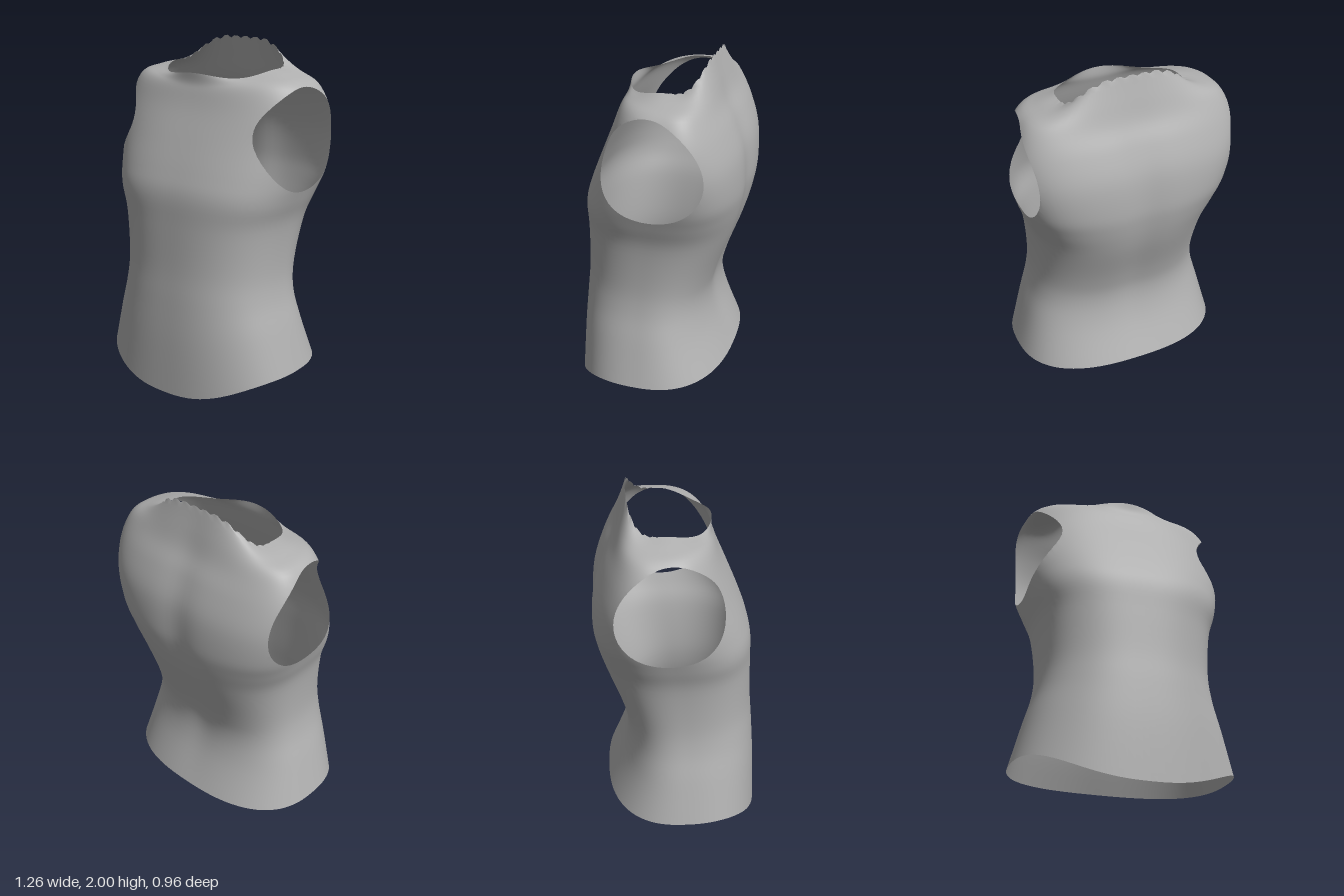
import * as THREE from 'three';
import { mergeVertices } from 'three/addons/utils/BufferGeometryUtils.js';

// Rings from hem to neckline: half width, centre z, front z, back z,
// height at front, side and back, squareness of front and back
const RINGS = [
  [0.63, 0.03, 0.485, -0.42, 0.0, 0.155, 0.165, 2.5, 2.5],
  [0.565, 0.03, 0.475, -0.325, 0.32, 0.4, 0.4, 2.5, 2.5],
  [0.515, 0.03, 0.46, -0.298, 0.56, 0.58, 0.58, 2.5, 2.5],
  [0.5, 0.02, 0.445, -0.335, 0.75, 0.75, 0.75, 2.5, 2.5],
  [0.52, 0.0, 0.435, -0.425, 1.0, 1.0, 1.0, 2.6, 2.6],
  [0.565, -0.03, 0.425, -0.468, 1.18, 1.15, 1.17, 2.8, 2.8],
  [0.605, -0.08, 0.385, -0.48, 1.31, 1.28, 1.3, 2.8, 3],
  [0.64, -0.12, 0.315, -0.465, 1.48, 1.46, 1.48, 2.7, 3],
  [0.635, -0.13, 0.25, -0.41, 1.63, 1.63, 1.64, 2.7, 3],
  [0.57, -0.12, 0.215, -0.35, 1.73, 1.78, 1.76, 2.5, 3],
  [0.46, -0.1, 0.2, -0.31, 1.78, 1.83, 1.88, 2.2, 3.1],
  [0.355, -0.09, 0.2, -0.272, 1.835, 1.855, 2.0, 2, 3.3],
];
const COLUMNS = 96, STEPS = 5, ROWS = (RINGS.length - 1) * STEPS;

// Smooth blend of the ring values at row j
function ringAt(j) {
  const k = Math.min(Math.floor(j / STEPS), RINGS.length - 2), t = j / STEPS - k;
  const at = (i) => RINGS[THREE.MathUtils.clamp(i, 0, RINGS.length - 1)];
  return at(k).map((p1, i) => {
    const p0 = at(k - 1)[i], p2 = at(k + 1)[i], p3 = at(k + 2)[i];
    const m1 = (p2 - p0) / 2, m2 = (p3 - p1) / 2, d = p2 - p1;
    return p1 + t * (m1 + t * (3 * d - 2 * m1 - m2 + t * (m1 + m2 - 2 * d)));
  });
}

function surfacePoint(i, j) {
  const [w, c, zf, zb, yF, yS, yB, nF, nB] = ringAt(j);
  const a = ((i % COLUMNS) / COLUMNS) * Math.PI * 2;
  const co = Math.cos(a), si = Math.sin(a), front = si >= 0;
  const n = front ? nF : nB;
  const r = Math.pow(Math.abs(co) ** n + Math.abs(si) ** n, -1 / n);
  const x = w * r * co, s = Math.abs(r * si);
  let z = c + s * (front ? zf - c : c - zb) * (front ? 1 : -1);
  let y = yS + ((front ? yF : yB) - yS) * s ** 4;
  // Shallow spine groove
  const v = j / ROWS;
  if (!front) z += 0.02 * Math.exp(-((x / 0.11) ** 2)) * Math.sin(Math.PI * v);
  // Dipped front neckline, and a ragged edge around the back of the neck
  if (front) y -= 0.13 * s * s * (1 - s * s) * THREE.MathUtils.smoothstep(v, 0.85, 1);
  else if (j === ROWS) y = Math.min(2, y + 0.012 * s * Math.sin(i * 2.1));
  return new THREE.Vector3(x, y, z);
}

// Positive outside the armhole, negative inside it
function armhole(p) {
  if (Math.abs(p.x) < 0.38) return 1;
  const u = (p.z + 0.055) / 0.295, v = (p.y - 1.49) / 0.29;
  return u * u + v * v - 1 + 0.3 * v * (1 - v * v);
}

// Keep the part of a triangle that lies outside the armholes
function clipInto(out, tri) {
  const poly = [];
  tri.forEach((p, k) => {
    const q = tri[(k + 1) % 3], fp = armhole(p), fq = armhole(q);
    if (fp >= 0) poly.push(p);
    if (fp >= 0 !== fq >= 0) {
      // Always cut in the same direction so shared edges meet exactly
      poly.push(fp >= 0 ? p.clone().lerp(q, fp / (fp - fq)) : q.clone().lerp(p, fq / (fq - fp)));
    }
  });
  for (let k = 2; k < poly.length; k++) {
    for (const p of [poly[0], poly[k - 1], poly[k]]) out.push(p.x, p.y, p.z);
  }
}

export function createModel() {
  const fabric = new THREE.MeshStandardMaterial({ color: 0xb0b0b0, side: THREE.DoubleSide });
  fabric.name = 'grey fabric';

  const grid = [];
  for (let j = 0; j <= ROWS; j++) {
    grid.push(Array.from({ length: COLUMNS }, (_, i) => surfacePoint(i, j)));
  }
  const positions = [];
  for (let j = 0; j < ROWS; j++) {
    for (let i = 0; i < COLUMNS; i++) {
      const k = (i + 1) % COLUMNS;
      const a = grid[j][i], b = grid[j + 1][i], c = grid[j + 1][k], d = grid[j][k];
      clipInto(positions, [a, b, c]);
      clipInto(positions, [a, c, d]);
    }
  }
  let geometry = new THREE.BufferGeometry();
  geometry.setAttribute('position', new THREE.Float32BufferAttribute(positions, 3));
  geometry = mergeVertices(geometry, 1e-4);
  geometry.computeVertexNormals();

  const top = new THREE.Mesh(geometry, fabric);
  top.name = 'sleevelessTop';
  const group = new THREE.Group();
  group.name = 'garment';
  group.add(top);
  return group;
}
